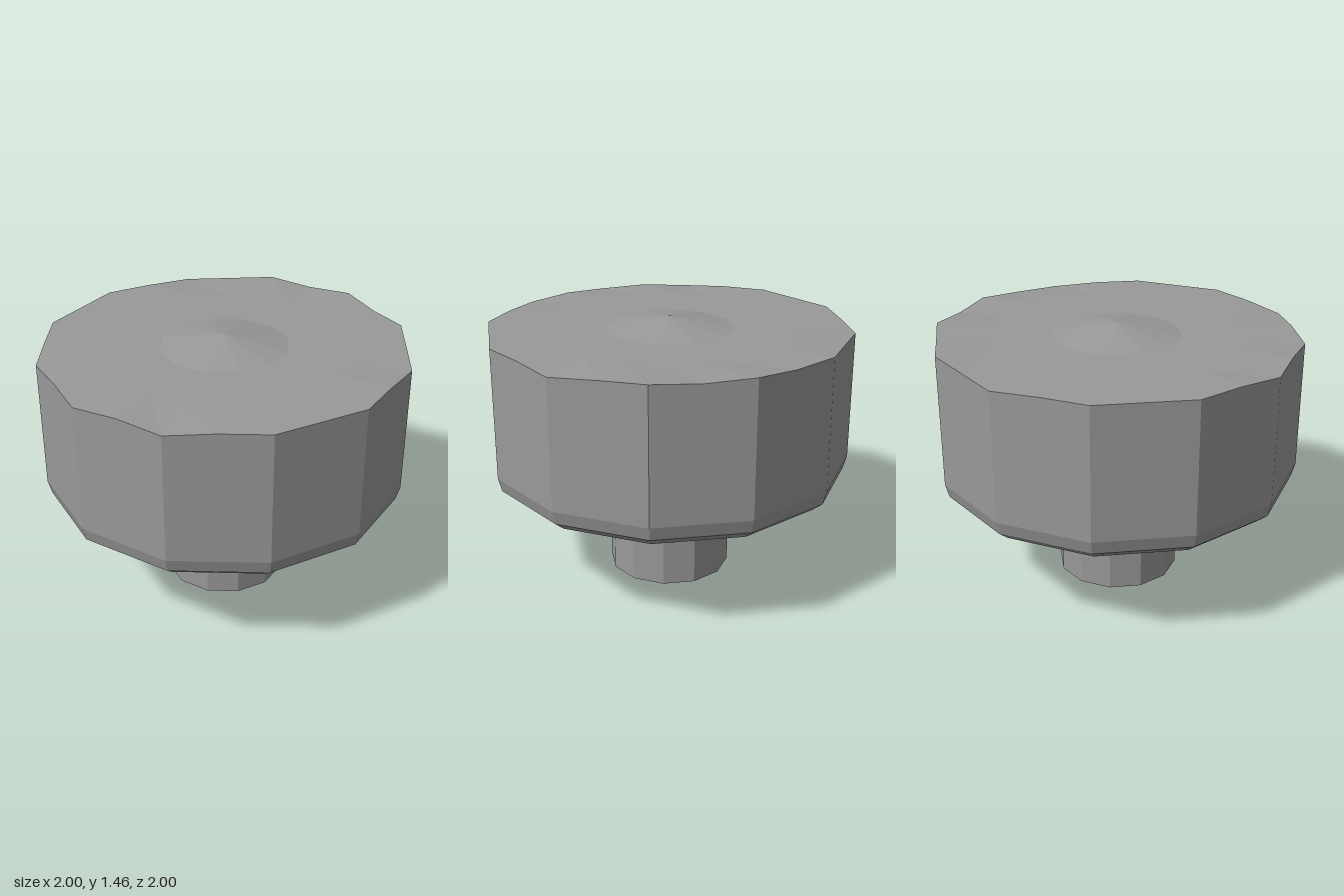
import * as THREE from 'three';

const SIDES = 12;
// Height of the uneven rim at each corner, starting at the front and turning towards +x
const RIM = [1.385, 1.385, 1.4, 1.4, 1.385, 1.41, 1.415, 1.41, 1.39, 1.4, 1.4, 1.385];
const MID_RIM = 1.4;

// Twelve-sided shell with an extra column of points in the middle of every flat side.
// Points marked as the rim (radius 1, height above 1) take their height from the table.
function facetedShell(name, profile, material) {
  const lathe = new THREE.LatheGeometry(profile.map(([r, y]) => new THREE.Vector2(r, y)), SIDES * 2);
  const pos = lathe.attributes.position;
  const rows = profile.length;
  for (let i = 0; i < pos.count; i++) {
    const column = Math.floor(i / rows);
    const [r, y] = profile[i % rows];
    const isMid = column % 2 === 1;
    const radius = isMid ? r * Math.cos(Math.PI / SIDES) : r;
    const angle = (column * Math.PI) / SIDES;
    const isRim = r === 1 && y > 1;
    const height = isRim ? (isMid ? MID_RIM : RIM[(column / 2) % SIDES]) : y;
    pos.setXYZ(i, radius * Math.sin(angle), height, radius * Math.cos(angle));
  }
  const geometry = lathe.toNonIndexed();
  geometry.computeVertexNormals();
  const mesh = new THREE.Mesh(geometry, material);
  mesh.name = name;
  return mesh;
}

export function createModel() {
  const material = new THREE.MeshStandardMaterial({
    color: 0x999999, flatShading: true, side: THREE.DoubleSide,
  });
  const group = new THREE.Group();
  group.name = 'facetedKnob';

  group.add(
    // Hollow stem, open at the bottom
    facetedShell('stem', [[0.34, 0], [0.34, 0.3], [0.355, 0.35]], material),
    // Flared underside, bevelled shoulder and straight wall
    facetedShell('body', [[0.355, 0.35], [0.4, 0.385], [0.92, 0.555], [0.98, 0.605], [1, 0.68], [1, 1.4]], material),
    // Slightly rippled top
    facetedShell('top', [[1, 1.4], [0.7, 1.4], [0.35, 1.4]], material),
    // Low peak in the middle
    facetedShell('peak', [[0.35, 1.4], [0, 1.46]], material),
  );
  return group;
}
